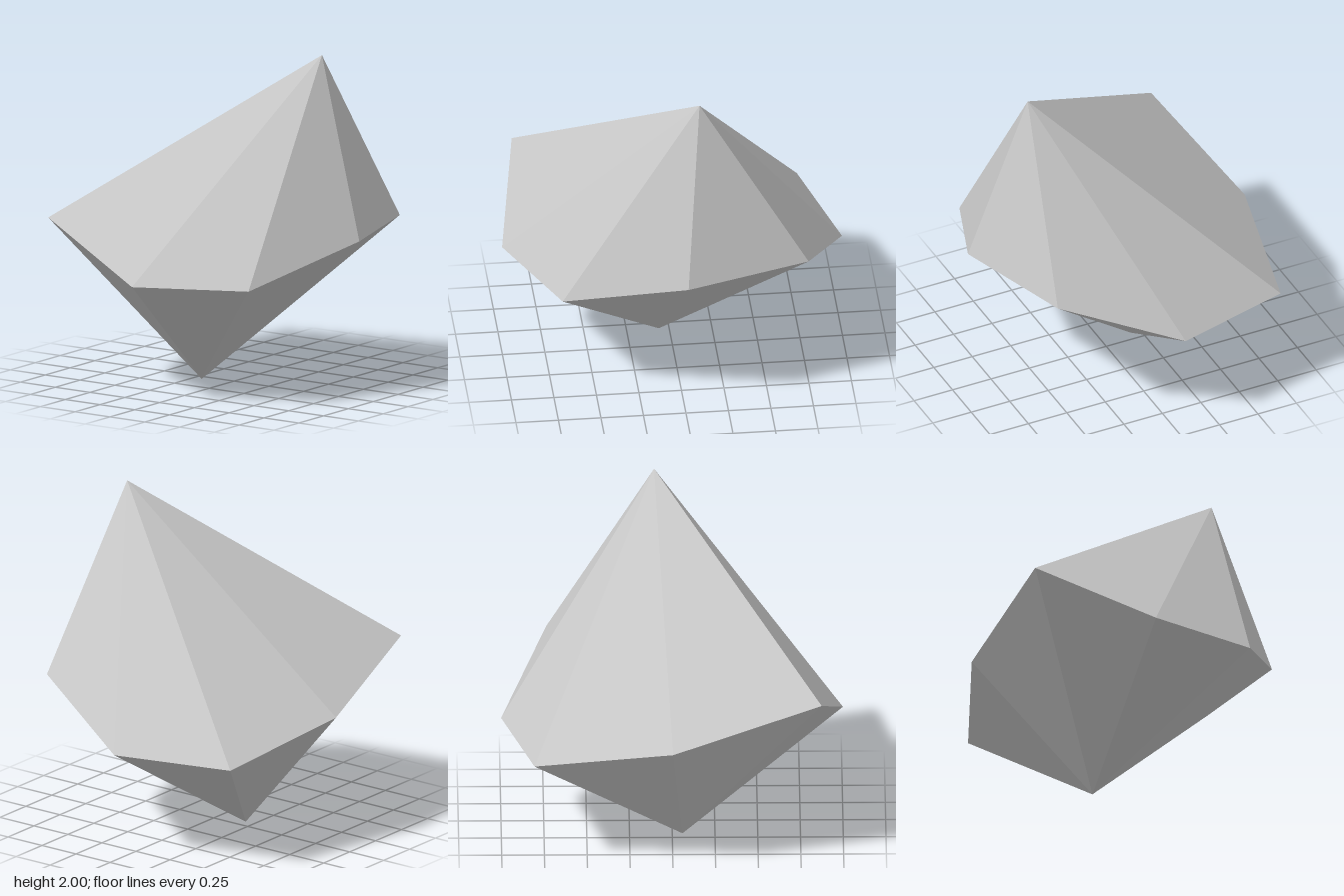
import * as THREE from 'three';

export function createModel() {
  const model = new THREE.Group();
  model.name = 'facetedStone';
  const stone = new THREE.MeshStandardMaterial({ color: 0xc8c8c8 });
  stone.name = 'pale grey stone';

  const peak = [0.56, 2, -0.1];
  const foot = [-0.19, 0, 0.06];
  // Uneven girdle, counter-clockwise seen from above
  const girdle = [
    [-0.02, 0.73, 1], [0.61, 0.73, 0.71], [0.9, 0.945, 0], [0.67, 0.95, -0.73],
    [-0.03, 0.67, -1], [-0.74, 0.67, -0.81], [-0.9, 0.81, 0], [-0.715, 1.04, 0.87],
  ];

  // Fan of flat facets from the girdle to one tip
  function facets(name, tip, upward) {
    const points = [];
    girdle.forEach((a, i) => {
      const b = girdle[(i + 1) % girdle.length];
      points.push(...tip, ...(upward ? a : b), ...(upward ? b : a));
    });
    const geometry = new THREE.BufferGeometry();
    geometry.setAttribute('position', new THREE.Float32BufferAttribute(points, 3));
    geometry.computeVertexNormals();
    const mesh = new THREE.Mesh(geometry, stone);
    mesh.name = name;
    model.add(mesh);
  }

  facets('upperFacets', peak, true);
  facets('lowerFacets', foot, false);
  return model;
}
